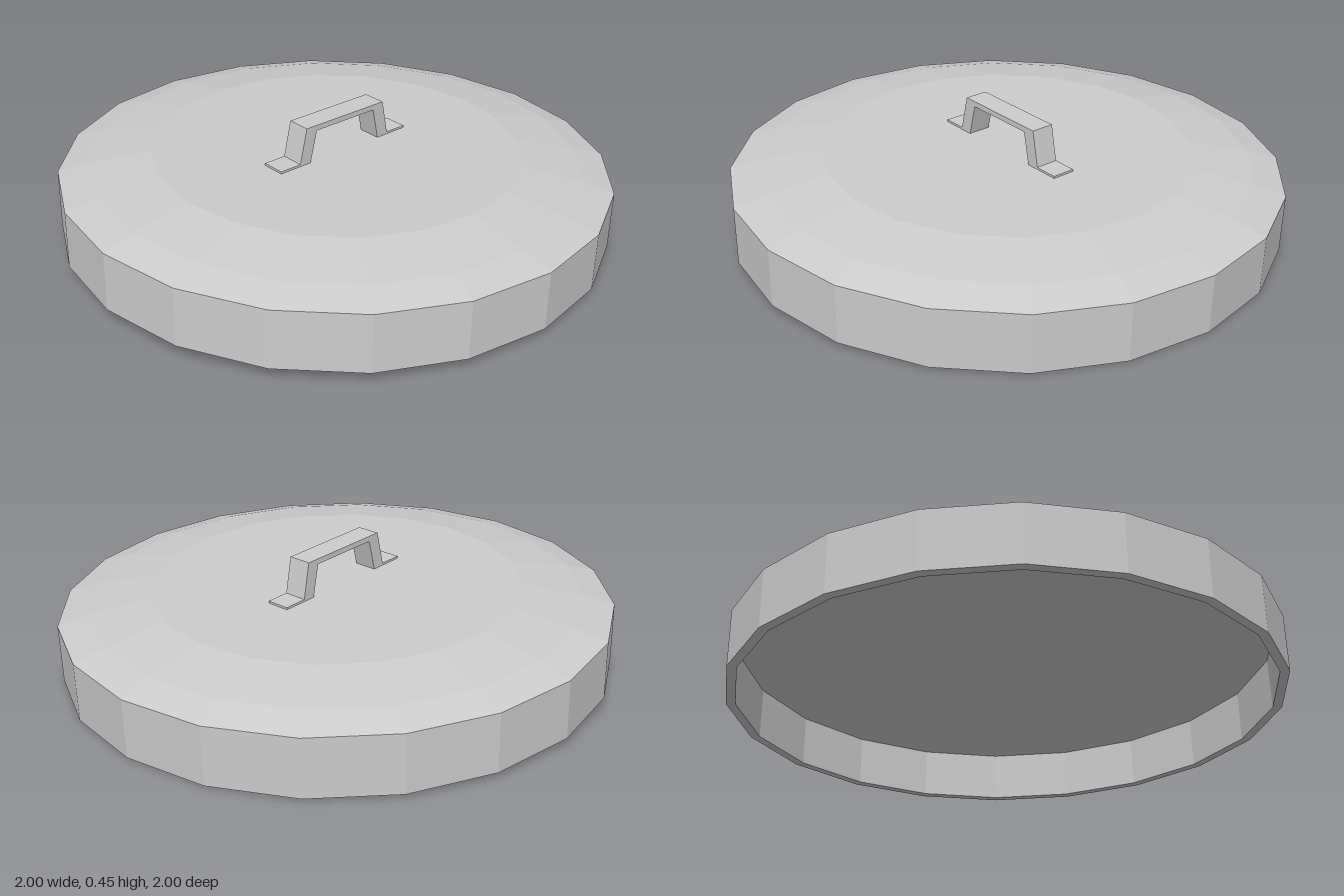
import * as THREE from 'three';

const SIDES = 20;

export function createModel() {
  const material = new THREE.MeshStandardMaterial({ color: 0xcccccc, flatShading: true });
  const lidGroup = new THREE.Group();
  lidGroup.name = 'lid';

  // Shell: from the underside centre, out and down the inner wall, up the outside to the top centre
  const profile = [
    [0, 0.285], [0.66, 0.285], [0.87, 0.247], [0.968, 0.218], [0.968, 0.028],
    [1.002, 0.028], [1.002, 0.24], [0.89, 0.273], [0.67, 0.31], [0, 0.31],
  ].map(([r, y]) => new THREE.Vector2(r, y));
  const shell = new THREE.Mesh(new THREE.LatheGeometry(profile, SIDES), material);
  shell.name = 'lidShell';
  lidGroup.add(shell);

  // Handle: a bent strap with two flat feet, one half mirrored to the other
  const half = [
    [0.137, 0.428], [0.165, 0.307], [0.3, 0.307], [0.3, 0.318], [0.212, 0.318], [0.184, 0.448],
  ];
  const mirrored = half.map(([z, y]) => [-z, y]).reverse();
  const outline = new THREE.Shape([...half, ...mirrored].map(([z, y]) => new THREE.Vector2(z, y)));
  const width = 0.088;
  const strap = new THREE.ExtrudeGeometry(outline, { depth: width, bevelEnabled: false });
  strap.translate(0, 0, -width / 2);
  strap.rotateY(-Math.PI / 2);
  const handle = new THREE.Mesh(strap, material);
  handle.name = 'handle';
  lidGroup.add(handle);

  // The lid is turned a little and rests at a slight tilt, front edge raised
  lidGroup.rotation.set(-0.027, -0.08, -0.005, 'XZY');
  lidGroup.position.z = 0.003;

  const model = new THREE.Group();
  model.name = 'potLid';
  model.add(lidGroup);
  return model;
}
